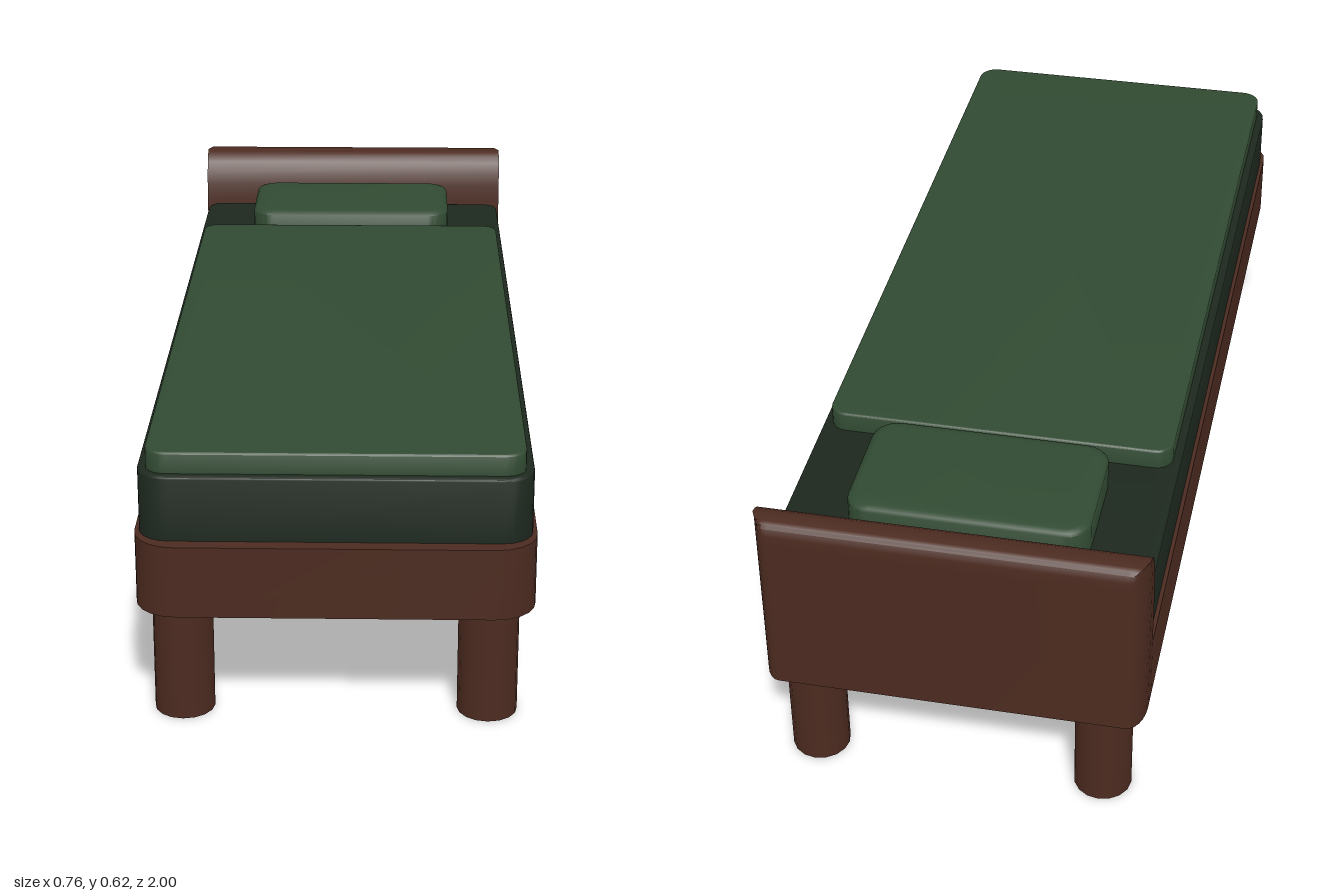
import * as THREE from 'three';
import { toCreasedNormals } from 'three/addons/utils/BufferGeometryUtils.js';

// Every part is an open shell, so both sides are drawn.
const material = (color) => new THREE.MeshStandardMaterial({ color, side: THREE.DoubleSide });

// Rounded rectangle in plan as [x, z] points, running back right -> front -> back left.
function outline(hw, zBack, zFront, rFront, rBack) {
  const points = [];
  const corners = [[-1, zBack + rBack, rBack], [-1, zFront - rFront, rFront],
    [1, zFront - rFront, rFront], [1, zBack + rBack, rBack]];
  corners.forEach(([side, cz, r], k) => {
    for (let i = 0; i <= 5; i++) {
      const a = -(1 + k + i / 5) * Math.PI / 2;
      points.push([side * (hw - r) + r * Math.cos(a), cz + r * Math.sin(a)]);
    }
  });
  return points;
}

// Skin over stacked rows of [x, y, z] points with a flat top and an open bottom.
// The first openRows bands leave out the closing side.
function loft(rows, openRows = 0) {
  const n = rows[0].length, idx = [];
  for (let l = 0; l < rows.length - 1; l++)
    for (let i = 0; i < (l < openRows ? n - 1 : n); i++) {
      const a = l * n + i, b = l * n + (i + 1) % n;
      idx.push(a, b, b + n, a, b + n, a + n);
    }
  const top = (rows.length - 1) * n;
  for (let i = 1; i < n - 1; i++) idx.push(top, top + i, top + i + 1);
  const geo = new THREE.BufferGeometry();
  geo.setAttribute('position', new THREE.Float32BufferAttribute(rows.flat(2), 3));
  geo.setIndex(idx);
  return toCreasedNormals(geo, 0.7);
}

// Soft block from y0 to y1 whose top edge rolls inwards by bevelIn over bevelUp.
function cushion(hw, zBack, zFront, rFront, rBack, y0, y1, bevelIn, bevelUp) {
  const levels = [[y0, 0]];
  for (let i = 0; i <= 3; i++) {
    const a = (i / 3) * Math.PI / 2;
    levels.push([y1 - bevelUp * (1 - Math.sin(a)), bevelIn * (1 - Math.cos(a))]);
  }
  return loft(levels.map(([y, d]) =>
    outline(hw - d, zBack + d, zFront - d, rFront - d, rBack - d).map(([x, z]) => [x, y, z])));
}

// Headboard: plan with rounded back corners, clipped at each level by the side profile.
function headboardGeometry() {
  const levels = [ // y, back z, front z
    [0.225, -1, -0.9], [0.368, -1, -0.9], [0.5, -1, -0.9], [0.54, -1, -0.903], [0.57, -1, -0.91],
    [0.595, -1, -0.921], [0.61, -0.996, -0.934], [0.617, -0.991, -0.946], [0.62, -0.982, -0.96],
  ];
  const half = [[0.38, -0.9]];
  for (let i = 0; i <= 6; i++) {
    const a = (i / 6) * Math.PI / 2;
    half.push([0.345 + 0.035 * Math.cos(a), -0.935 - 0.065 * Math.sin(a)]);
  }
  const plan = [...half, ...half.slice().reverse().map(([x, z]) => [-x, z])];
  return loft(levels.map(([y, zb, zf]) =>
    plan.map(([x, z]) => [x, y, Math.min(zf, Math.max(zb, z))])), 1);
}

export function createModel() {
  const bed = new THREE.Group();
  bed.name = 'bed';
  const wood = material(0x4c2b20);
  const mattressGreen = material(0x1d281e);
  const blanketGreen = material(0x314a32);

  const add = (name, geo, mat) => {
    const mesh = new THREE.Mesh(geo, mat);
    mesh.name = name;
    bed.add(mesh);
    return mesh;
  };

  // Frame: hollow underneath and open towards the headboard
  const rails = outline(0.38, -0.9, 1, 0.08, 0.002);
  add('frame', loft([0.225, 0.368].map((y) => rails.map(([x, z]) => [x, y, z])), 1), wood);
  add('headboard', headboardGeometry(), wood);

  // Legs: open tubes
  for (const [end, z] of [['front', 0.922], ['back', -0.922]])
    for (const [side, x] of [['Left', 0.292], ['Right', -0.292]]) {
      const tube = new THREE.CylinderGeometry(0.058, 0.058, 0.23, 16, 1, true);
      add(`${end}${side}Leg`, tube, wood).position.set(x, 0.115, z);
    }

  // Bedding
  add('mattress', cushion(0.372, -0.877, 0.97, 0.06, 0.035, 0.368, 0.498, 0.008, 0.006), mattressGreen);
  add('blanket', cushion(0.356, -0.535, 0.955, 0.04, 0.035, 0.497, 0.54, 0.006, 0.004), blanketGreen);
  add('pillow', cushion(0.241, -0.848, -0.563, 0.05, 0.05, 0.497, 0.565, 0.03, 0.01), blanketGreen);

  return bed;
}
